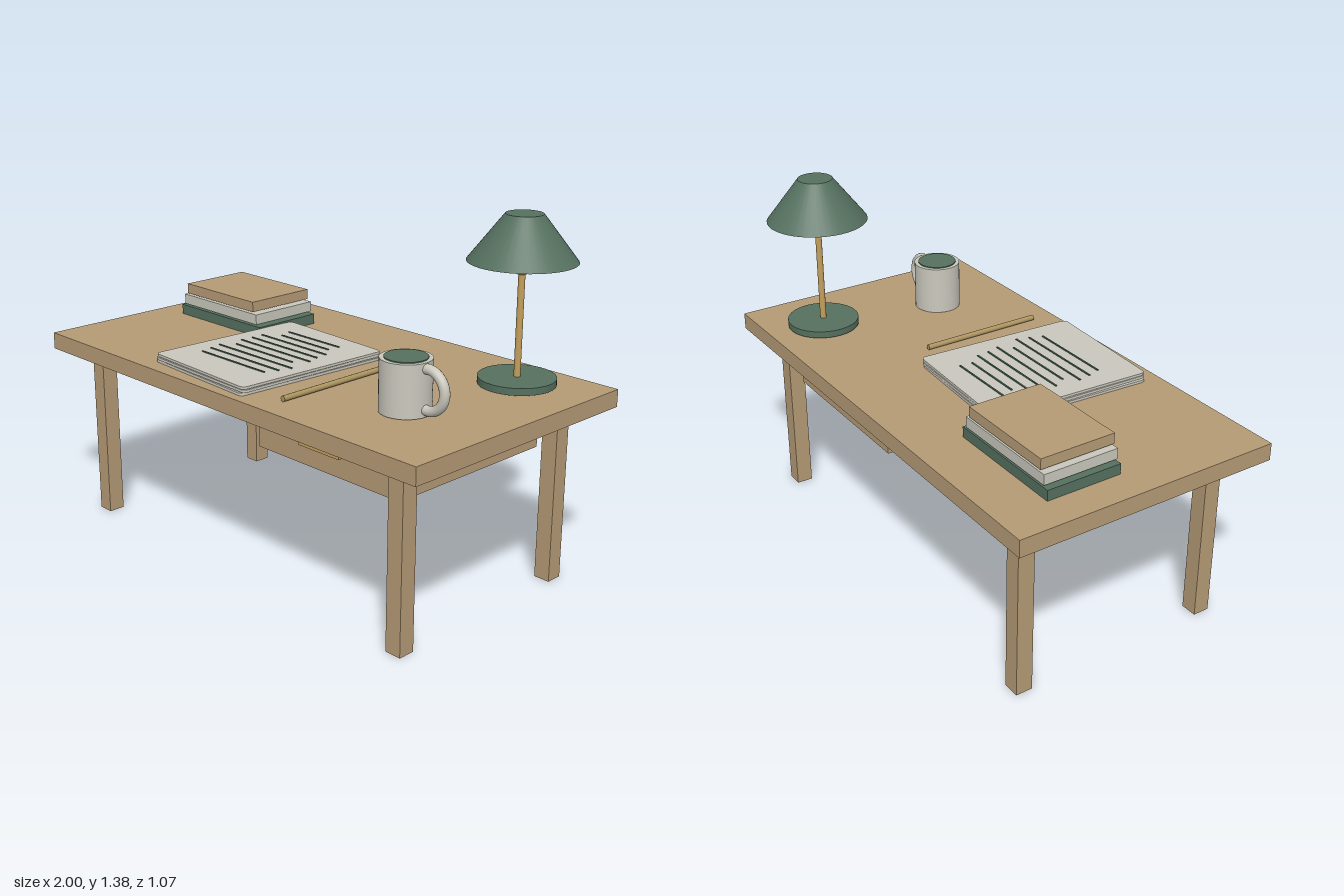
import * as THREE from 'three';

const paint = (color) => new THREE.MeshStandardMaterial({ color });

export function createModel() {
  const desk = new THREE.Group();
  desk.name = 'writingDesk';
  const wood = paint(0xb59b76), green = paint(0x55705f), grey = paint(0xcac8bd), brass = paint(0xc4a05c);
  const pencilWood = paint(0xad9560), ink = paint(0x4c6a5b);
  const topY = 0.757;

  const add = (parent, name, geometry, material, x, y, z) => {
    const mesh = new THREE.Mesh(geometry, material);
    mesh.name = name;
    mesh.position.set(x, y, z);
    parent.add(mesh);
    return mesh;
  };
  // box given by its min and max on each axis
  const block = (parent, name, material, [x0, x1], [y0, y1], [z0, z1]) =>
    add(parent, name, new THREE.BoxGeometry(x1 - x0, y1 - y0, z1 - z0), material,
      (x0 + x1) / 2, (y0 + y1) / 2, (z0 + z1) / 2);
  const group = (name) => {
    const g = new THREE.Group();
    g.name = name;
    desk.add(g);
    return g;
  };

  // table top and legs
  block(desk, 'tableTop', wood, [-1, 1], [0.69, topY], [-0.533, 0.533]);
  for (const sx of [-1, 1]) for (const sz of [-1, 1])
    add(desk, sz > 0 ? 'frontLeg' : 'backLeg', new THREE.BoxGeometry(0.066, 0.69, 0.066), wood,
      sx * 0.83, 0.345, sz * 0.406);

  // drawer hung under the left half
  const drawer = group('drawer');
  block(drawer, 'drawerBox', wood, [0.05, 0.755], [0.504, 0.672], [-0.4, 0.34]);
  block(drawer, 'drawerHandle', brass, [0.3, 0.5], [0.59, 0.605], [0.345, 0.375]);

  // stack of three books
  const books = group('bookStack');
  [green, grey, wood].forEach((m, i) => {
    const half = 0.25 - i * 0.02;
    block(books, 'book', m, [-0.618 - half, -0.618 + half],
      [topY + i * 0.049, topY + 0.041 + i * 0.049], [-0.332, -0.03]);
  });

  // paper sheets with rounded corners, each turned a little
  const papers = group('papers');
  const w = 0.27, h = 0.333, r = 0.022;
  const outline = new THREE.Shape();
  outline.moveTo(-w + r, -h);
  outline.lineTo(w - r, -h);
  outline.quadraticCurveTo(w, -h, w, -h + r);
  outline.lineTo(w, h - r);
  outline.quadraticCurveTo(w, h, w - r, h);
  outline.lineTo(-w + r, h);
  outline.quadraticCurveTo(-w, h, -w, h - r);
  outline.lineTo(-w, -h + r);
  outline.quadraticCurveTo(-w, -h, -w + r, -h);
  const sheet = new THREE.ExtrudeGeometry(outline, { depth: 0.01, bevelEnabled: false, curveSegments: 6 });
  sheet.rotateX(-Math.PI / 2);
  [-0.058, -0.038, -0.05].forEach((turn, i) => {
    add(papers, 'sheet', sheet, grey, -0.111 + (i - 1) * 0.003, topY + 0.001 + i * 0.0125, 0.15)
      .rotation.y = turn;
  });

  // written lines
  const rows = [[-0.25, 0.035], [-0.235, 0.03], [-0.295, 0.07], [-0.295, 0.075], [-0.3, 0.09],
    [-0.27, 0.05], [-0.31, 0.105], [-0.3, 0.09], [-0.285, 0.07]];
  rows.forEach((span, i) => {
    const z = -0.083 + i * 0.0515;
    block(papers, 'writtenLine', ink, span, [0.793, 0.797], [z - 0.003, z + 0.003]);
  });

  // pencil
  add(desk, 'pencil', new THREE.CylinderGeometry(0.011, 0.011, 0.505, 12), pencilWood, 0.28, 0.77, 0.178)
    .rotation.x = Math.PI / 2;

  // mug filled to the rim, handle towards the left
  const mug = group('mug');
  add(mug, 'mugBody', new THREE.CylinderGeometry(0.093, 0.093, 0.192, 40), grey, 0.635, 0.856, 0.19);
  add(mug, 'drink', new THREE.CylinderGeometry(0.077, 0.077, 0.01, 40), green, 0.635, 0.951, 0.19);
  const ring = new THREE.TorusGeometry(0.073, 0.0185, 16, 40, Math.PI * 1.3);
  ring.rotateZ(-Math.PI * 0.65);
  add(mug, 'mugHandle', ring, grey, 0.737, 0.858, 0.19);

  // desk lamp
  const lamp = group('lamp');
  const lx = 0.72, lz = -0.307;
  add(lamp, 'lampBase', new THREE.CylinderGeometry(0.143, 0.143, 0.027, 40), green, lx, 0.778, lz);
  add(lamp, 'lampPole', new THREE.CylinderGeometry(0.0125, 0.0125, 0.42, 16), brass, lx, 1.0, lz);
  add(lamp, 'lampBulb', new THREE.SphereGeometry(0.042, 24, 16), brass, lx, 1.207, lz);
  add(lamp, 'lampShade', new THREE.CylinderGeometry(0.068, 0.198, 0.168, 40), green, lx, 1.3, lz);

  return desk;
}
